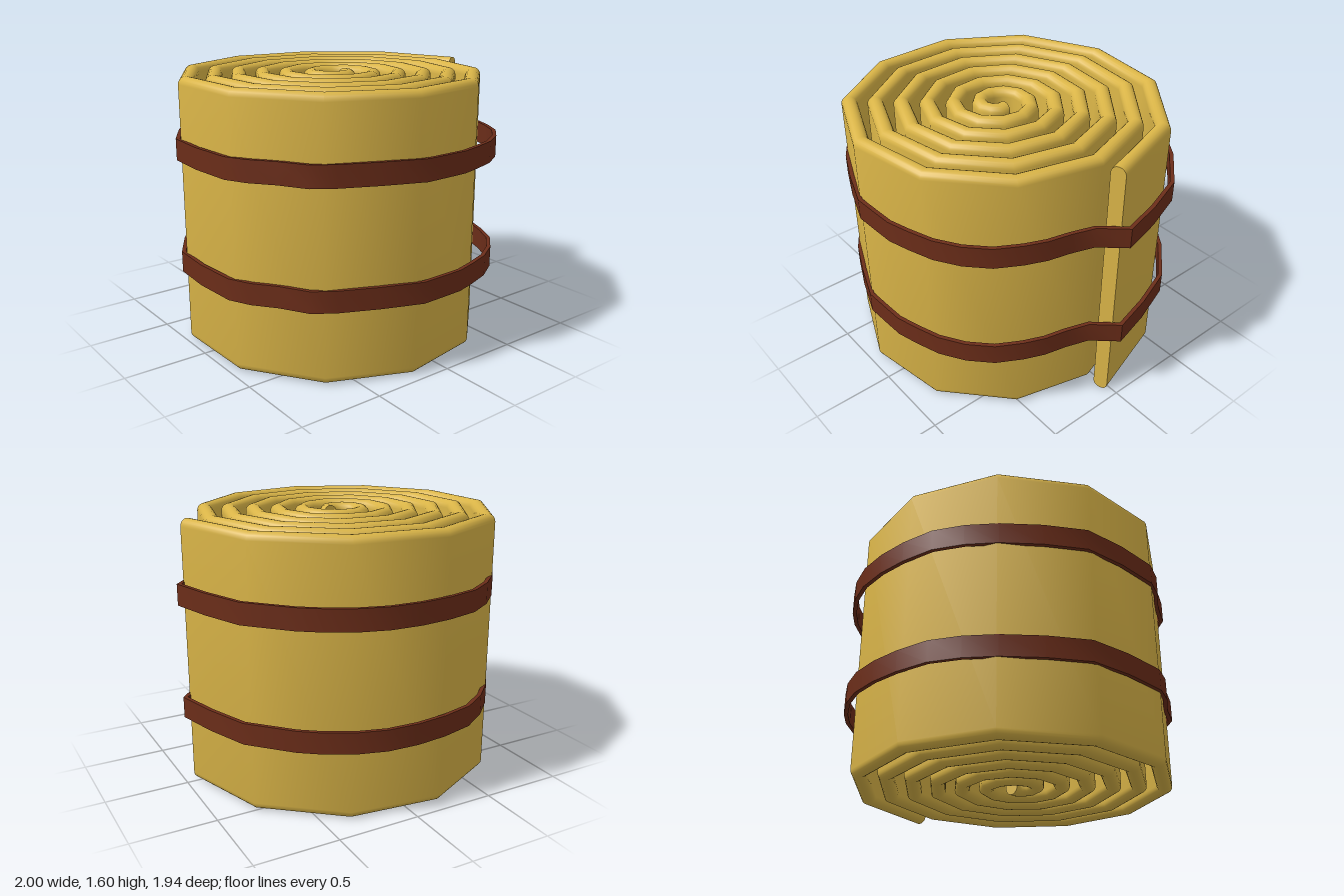
import * as THREE from 'three';
import { toCreasedNormals } from 'three/addons/utils/BufferGeometryUtils.js';

// Sweep a convex upright section [outward, y] along a flat path [x, z] with mitred corners
function sweep(path, section, closed) {
  const n = path.length, m = section.length, pos = [], index = [];
  const dir = (a, b) => new THREE.Vector2(b[0] - a[0], b[1] - a[1]).normalize();
  for (let i = 0; i < n; i++) {
    const prev = closed ? path[(i + n - 1) % n] : path[i - 1];
    const next = closed ? path[(i + 1) % n] : path[i + 1];
    const d1 = prev ? dir(prev, path[i]) : dir(path[i], next);
    const d2 = next ? dir(path[i], next) : d1;
    const t = d1.clone().add(d2).normalize();
    const mitre = 1 / Math.max(0.5, t.dot(d1));
    for (const [o, y] of section) {
      pos.push(path[i][0] - t.y * o * mitre, y, path[i][1] + t.x * o * mitre);
    }
  }
  for (let i = 0; i < (closed ? n : n - 1); i++) {
    for (let j = 0; j < m; j++) {
      const a = i * m + j, b = i * m + (j + 1) % m;
      const c = ((i + 1) % n) * m + j, d = ((i + 1) % n) * m + (j + 1) % m;
      index.push(a, c, b, b, c, d);
    }
  }
  if (!closed) {
    const e = (n - 1) * m;
    for (let j = 1; j < m - 1; j++) index.push(0, j, j + 1, e, e + j + 1, e + j);
  }
  const geo = new THREE.BufferGeometry();
  geo.setAttribute('position', new THREE.Float32BufferAttribute(pos, 3));
  geo.setIndex(index);
  return toCreasedNormals(geo, 0.7);
}

export function createModel() {
  const group = new THREE.Group();
  const straw = new THREE.MeshStandardMaterial({ color: 0xd9b447 });
  const leather = new THREE.MeshStandardMaterial({ color: 0x6b2d19 });
  const add = (name, geo, mat) => {
    const mesh = new THREE.Mesh(geo, mat);
    mesh.name = name;
    group.add(mesh);
    return mesh;
  };

  // Rolled mat: six turns of eleven straight runs, rounded along both rims
  const height = 1.6, half = 0.045, sides = 11, turns = 6, pitch = 0.152;
  const spiral = [];
  for (let k = 0; k <= sides * turns; k++) {
    const a = (k / sides) * Math.PI * 2, r = 0.967 - (k / sides) * pitch;
    spiral.push([-0.065 + r * Math.cos(a), 0.045 - r * Math.sin(a)]);
  }
  const rim = [];
  for (let s = 0; s < 2; s++) {
    for (let j = 0; j <= 10; j++) {
      const a = Math.PI * (s + j / 10);
      rim.push([half * Math.cos(a), (s ? half : height - half) + half * Math.sin(a)]);
    }
  }
  add('rolledMat', sweep(spiral, rim, false), straw);

  // Flat strip crossing the coils inside the roll
  const strip = add('innerStrip', new THREE.BoxGeometry(0.09, 0.03, 0.88), straw);
  strip.position.set(-0.045, 0.8, -0.39);
  strip.rotation.y = 0.06;

  // Two straps following the outside of the roll, pulled out over the loose end
  const loop = [
    [0.99, 0], [0.925, -0.25], [0.83, -0.51], [0.73, -0.62], [0.62, -0.74], [0.5, -0.83],
    [0.35, -0.91], [0.18, -0.96], [-0.01, -0.97], [-0.2, -0.95], [-0.4, -0.9], [-0.56, -0.8],
    [-0.7, -0.67], [-0.85, -0.48], [-0.98, -0.26], [-0.997, 0], [-0.98, 0.28], [-0.92, 0.41],
    [-0.82, 0.54], [-0.73, 0.7], [-0.61, 0.78], [-0.4, 0.875], [-0.16, 0.965], [0, 0.96],
    [0.12, 0.955], [0.25, 0.92], [0.4, 0.87], [0.54, 0.785], [0.66, 0.67], [0.74, 0.53],
    [0.79, 0.41], [0.82, 0.28], [0.865, 0.14],
  ];
  for (const [name, y] of [['lowerStrap', 0.43], ['upperStrap', 1.115]]) {
    const band = [[0.004, y], [0.004, y + 0.126], [-0.02, y + 0.126], [-0.02, y]];
    add(name, sweep(loop, band, true), leather);
  }
  return group;
}
